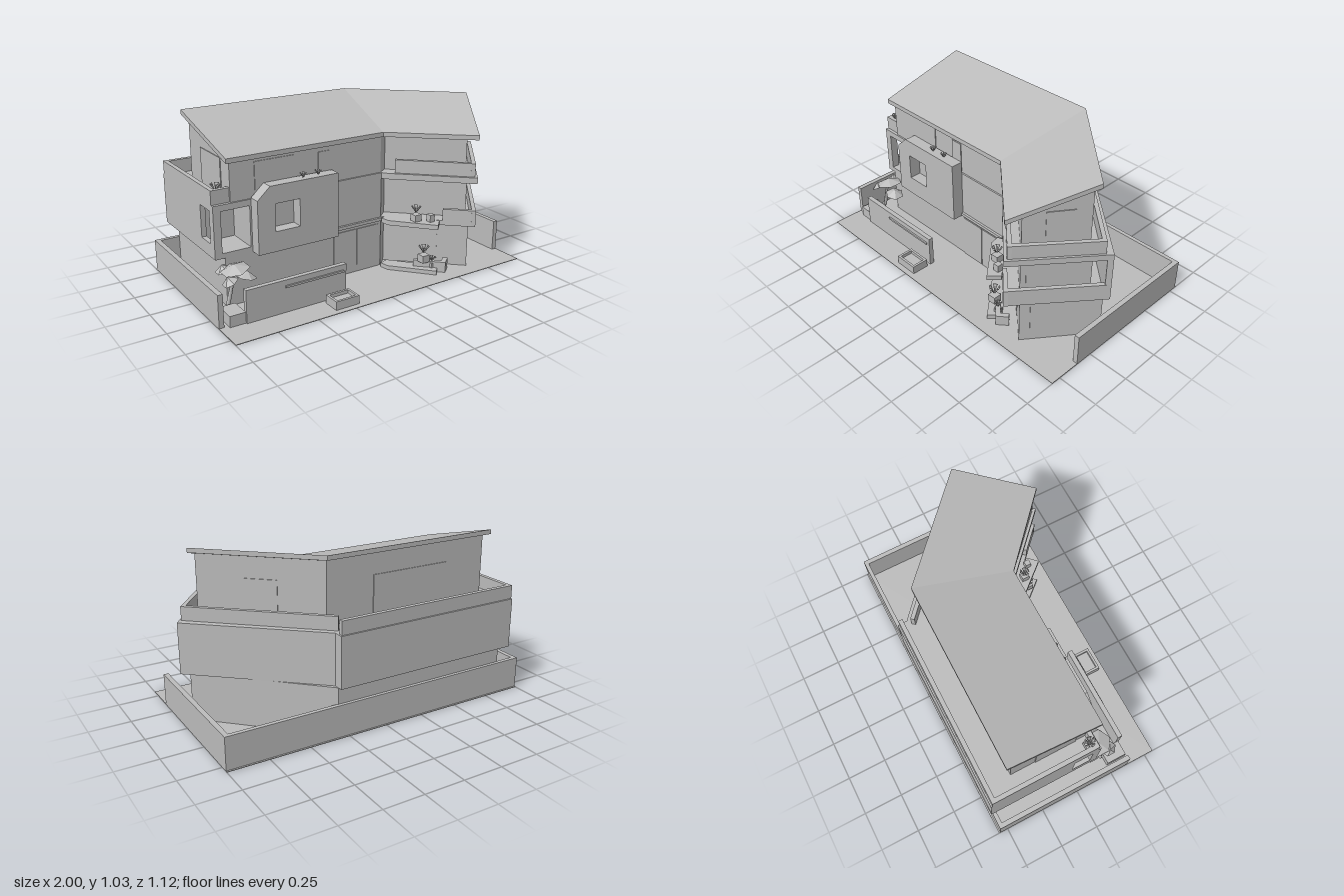
import * as THREE from 'three';

export function createModel() {
  const model = new THREE.Group();
  const plaster = new THREE.MeshStandardMaterial({ color: 0xbcbcbc, side: THREE.DoubleSide });
  plaster.name = 'grey plaster';

  const add = (name, geo, parent = model) => {
    const m = new THREE.Mesh(geo, plaster);
    m.name = name;
    parent.add(m);
    return m;
  };
  const box = (name, x0, x1, y0, y1, z0, z1) =>
    add(name, new THREE.BoxGeometry(x1 - x0, y1 - y0, z1 - z0))
      .position.set((x0 + x1) / 2, (y0 + y1) / 2, (z0 + z1) / 2);

  // Prism over an [x, z] outline; bottom and top may be functions of (x, z)
  const prism = (name, pts, bottom, top) => {
    const geo = new THREE.ExtrudeGeometry(
      new THREE.Shape(pts.map(([x, z]) => new THREE.Vector2(x, -z))), { depth: 1, bevelEnabled: false });
    geo.rotateX(-Math.PI / 2);
    const p = geo.attributes.position;
    for (let i = 0; i < p.count; i++) {
      const h = p.getY(i) > 0.5 ? top : bottom;
      p.setY(i, typeof h === 'function' ? h(p.getX(i), p.getZ(i)) : h);
    }
    geo.computeVertexNormals();
    return add(name, geo);
  };

  // Upright wall from a to b, thickened towards the inside
  const wall = (name, a, b, t, y0, y1) => {
    const dx = b[0] - a[0], dz = b[1] - a[1];
    const geo = new THREE.BoxGeometry(Math.hypot(dx, dz), y1 - y0, Math.abs(t));
    geo.translate(0, 0, t / 2);
    const m = add(name, geo);
    m.rotation.y = Math.atan2(-dz, dx);
    m.position.set((a[0] + b[0]) / 2, (y0 + y1) / 2, (a[1] + b[1]) / 2);
  };
  const walls = (name, pts, t, y0, y1) => {
    for (let i = 0; i + 1 < pts.length; i++) wall(name, pts[i], pts[i + 1], t, y0, y1);
  };
  const lerp = (a, b, t) => [a[0] + (b[0] - a[0]) * t, a[1] + (b[1] - a[1]) * t];
  // Thin panel on part of a wall line, standing just outside it
  const panel = (name, a, b, t0, t1, y0, y1) =>
    wall(name, lerp(a, b, t0), lerp(a, b, t1), -0.005, y0, y1);

  // Plot and boundary walls
  box('ground', -1, 1, 0, 0.004, -0.56, 0.56);
  box('boundaryWallLeft', 0.97, 1, 0, 0.2, -0.55, 0.36);
  box('boundaryWallRight', -1, -0.97, 0, 0.2, -0.55, 0.36);
  box('boundaryWallBack', -1, 1, 0, 0.2, -0.55, -0.525);

  // Ground floor
  prism('groundFloor', [[-0.85, -0.53], [0.31, -0.53], [0.93, 0.085], [0.65, 0.46],
    [0.265, 0.1], [0.205, 0.15], [-0.85, 0.15]], 0, 0.3);
  panel('gardenDoor', [0.93, 0.085], [0.65, 0.46], 0.14, 0.87, 0.01, 0.29);
  panel('frontDoor', [0.2, 0.15], [-0.15, 0.15], 0.02, 0.5, 0.005, 0.285);
  panel('frontDoorSide', [0.2, 0.15], [-0.15, 0.15], 0.52, 0.98, 0.005, 0.285);
  panel('wingGlazing', [0.65, 0.46], [0.265, 0.1], 0.36, 0.9, 0.01, 0.28);

  // Middle floor: slabs, set-back rooms and outer walls
  const outer = [[-0.91, 0.15], [-0.91, -0.56], [0.31, -0.56], [0.31, -0.5],
    [0.985, 0.095], [0.62, 0.555], [0.235, 0.19], [0.205, 0.15]];
  prism('middleFloorSlab', outer, 0.3, 0.33);
  prism('terraceSlab', outer, 0.575, 0.612);
  prism('middleRooms', [[-0.69, -0.54], [0.31, -0.54], [0.31, -0.47], [0.86, 0.115],
    [0.635, 0.445], [0.265, 0.1], [0.205, 0.15], [-0.69, 0.15]], 0.32, 0.58);
  box('sideRoom', -0.9, -0.68, 0.32, 0.58, -0.55, -0.06);
  wall('backWall', [-0.91, -0.56], [0.31, -0.56], 0.03, 0.3, 0.612);
  wall('wingBackWall', [0.31, -0.5], [0.985, 0.095], 0.035, 0.3, 0.612);
  wall('sideWall', [-0.91, -0.02], [-0.91, -0.56], 0.03, 0.3, 0.612);
  wall('sideWallSill', [-0.91, 0.15], [-0.91, -0.02], 0.03, 0.3, 0.38);
  box('loggiaPost', -0.91, -0.865, 0.3, 0.6, 0.1, 0.15);
  wall('endBalconyRail', [0.985, 0.095], [0.62, 0.555], 0.025, 0.3, 0.403);
  wall('frontBalconyRail', [0.62, 0.555], [0.475, 0.418], 0.025, 0.3, 0.403);
  panel('endWindow', [0.86, 0.115], [0.635, 0.445], 0.08, 0.92, 0.4, 0.57);

  // Projecting front bay with a clipped corner and square window opening
  const bay = new THREE.Shape([[-0.68, 0.3], [-0.155, 0.3], [-0.155, 0.692], [-0.6, 0.692], [-0.68, 0.62]]
    .map(([x, y]) => new THREE.Vector2(x, y)));
  bay.holes.push(new THREE.Path([[-0.57, 0.42], [-0.57, 0.585], [-0.412, 0.585], [-0.412, 0.42]]
    .map(([x, y]) => new THREE.Vector2(x, y))));
  add('frontBay', new THREE.ExtrudeGeometry(bay, { depth: 0.075, bevelEnabled: false })).position.z = 0.15;
  box('entranceLedge', -0.15, 0.205, 0.305, 0.325, 0.145, 0.165);

  // Roof height: falls from the rear edge to the front edge on both wings
  const roofY = (x, z) => 1.025 - 0.155 * Math.min((z + 0.42) / 0.59,
    (0.73 * (z + 0.42) - 0.68 * (x - 0.31)) / 0.502);
  const roofUnder = (x, z) => roofY(x, z) - 0.028;

  // Top floor, one block per wing so that the tops stay flat
  prism('topFloorMain', [[-0.8, -0.38], [0.295, -0.38], [0.205, 0.14], [-0.8, 0.14]], 0.6, roofUnder);
  prism('topFloorWing', [[0.295, -0.38], [0.845, 0.125], [0.63, 0.435], [0.265, 0.1], [0.205, 0.14]],
    0.6, roofUnder);
  prism('roofMain', [[-0.83, -0.42], [0.31, -0.42], [0.2, 0.17], [-0.83, 0.17]], roofUnder, roofY);
  prism('roofWing', [[0.31, -0.42], [0.89, 0.12], [0.62, 0.55], [0.2, 0.17]], roofUnder, roofY);

  // Top floor doors and windows
  panel('topWindowWide', [-0.4, 0.14], [-0.65, 0.14], 0, 1, 0.62, 0.82);
  panel('topWindowNarrow', [-0.165, 0.14], [-0.24, 0.14], 0, 1, 0.62, 0.81);
  panel('topBackWindow', [-0.8, -0.38], [0.295, -0.38], 0.25, 0.72, 0.62, 0.86);
  panel('topWingWindow', [0.295, -0.38], [0.845, 0.125], 0.37, 0.62, 0.62, 0.86);
  panel('topEndWindow', [0.845, 0.125], [0.63, 0.435], 0.24, 0.66, 0.62, 0.86);
  panel('topSideWindow', [-0.8, 0.14], [-0.8, -0.38], 0.2, 0.7, 0.62, 0.84);

  // Terrace parapets
  walls('parapet', [[-0.79, 0.13], [-0.91, 0.13], [-0.91, -0.55], [0.3, -0.55]], 0.027, 0.6, 0.695);
  walls('wingParapet', [[0.28, -0.48], [0.95, 0.12], [0.62, 0.53], [0.27, 0.2]], 0.025, 0.6, 0.695);

  // Front garden wall with ledge, side planter and basin
  box('gardenWall', -0.85, -0.21, 0, 0.2, 0.36, 0.39);
  box('gardenWallLedge', -0.61, -0.23, 0.155, 0.167, 0.385, 0.4);
  box('sidePlanter', -0.945, -0.85, 0, 0.07, 0.25, 0.38);
  box('basinFloor', -0.365, -0.21, 0, 0.035, 0.42, 0.525);
  walls('basinRim', [[-0.365, 0.525], [-0.365, 0.415], [-0.21, 0.415], [-0.21, 0.525], [-0.365, 0.525]],
    0.015, 0, 0.056);

  // Slanted planters beside the wing, on both levels
  const planter = [[0.19, 0.18], [0.25, 0.16], [0.46, 0.41], [0.4, 0.47], [0.2, 0.24]];
  prism('groundPlanter', planter, 0, 0.03);
  prism('balconyPlanter', planter, 0.3, 0.33);
  walls('groundPlanterStep', [[0.53, 0.42], [0.47, 0.47], [0.33, 0.33]], 0.03, 0, 0.07);

  // Potted plants: box pot, stem and a fan of leaves
  const plant = (x, y, z, s, pot = true) => {
    const g = new THREE.Group();
    g.name = 'pottedPlant';
    if (pot) add('pot', new THREE.BoxGeometry(0.05, 0.045, 0.05), g).position.y = 0.022;
    for (let i = 0; i < 5; i++) {
      const leaf = new THREE.ConeGeometry(0.014, 0.05, 4);
      leaf.rotateX(Math.PI).translate(0, 0.03, 0);
      leaf.scale(1, 1, 0.4).rotateX(0.55).rotateY(i * Math.PI * 0.4);
      add('leaf', leaf, g).position.y = pot ? 0.05 : 0;
    }
    g.position.set(x, y, z);
    g.scale.setScalar(s);
    model.add(g);
  };
  plant(0.34, 0.33, 0.33, 0.95);
  plant(0.37, 0.07, 0.38, 1.05);
  plant(0.42, 0.03, 0.4, 0.7);
  plant(-0.86, 0.62, 0.09, 1);
  plant(-0.37, 0.69, 0.19, 0.65, false);
  plant(-0.27, 0.69, 0.19, 0.65, false);
  box('balconyPot', 0.39, 0.425, 0.33, 0.375, 0.37, 0.405);

  // Small garden tree with broad folded leaves
  const trunk = add('treeTrunk', new THREE.CylinderGeometry(0.008, 0.012, 0.2, 6));
  trunk.position.set(-0.86, 0.15, 0.23);
  trunk.rotation.z = -0.25;
  for (const [x, y, z, w, tilt] of [[-0.83, 0.27, 0.22, 0.085, 0.2], [-0.89, 0.23, 0.27, 0.05, 0.5],
    [-0.76, 0.215, 0.23, 0.06, -0.2], [-0.87, 0.25, 0.15, 0.05, 0.3]]) {
    const leaf = add('treeLeaf', new THREE.ConeGeometry(w, 0.035, 6).toNonIndexed());
    leaf.geometry.computeVertexNormals();
    leaf.position.set(x, y, z);
    leaf.rotation.z = tilt;
  }
  return model;
}
